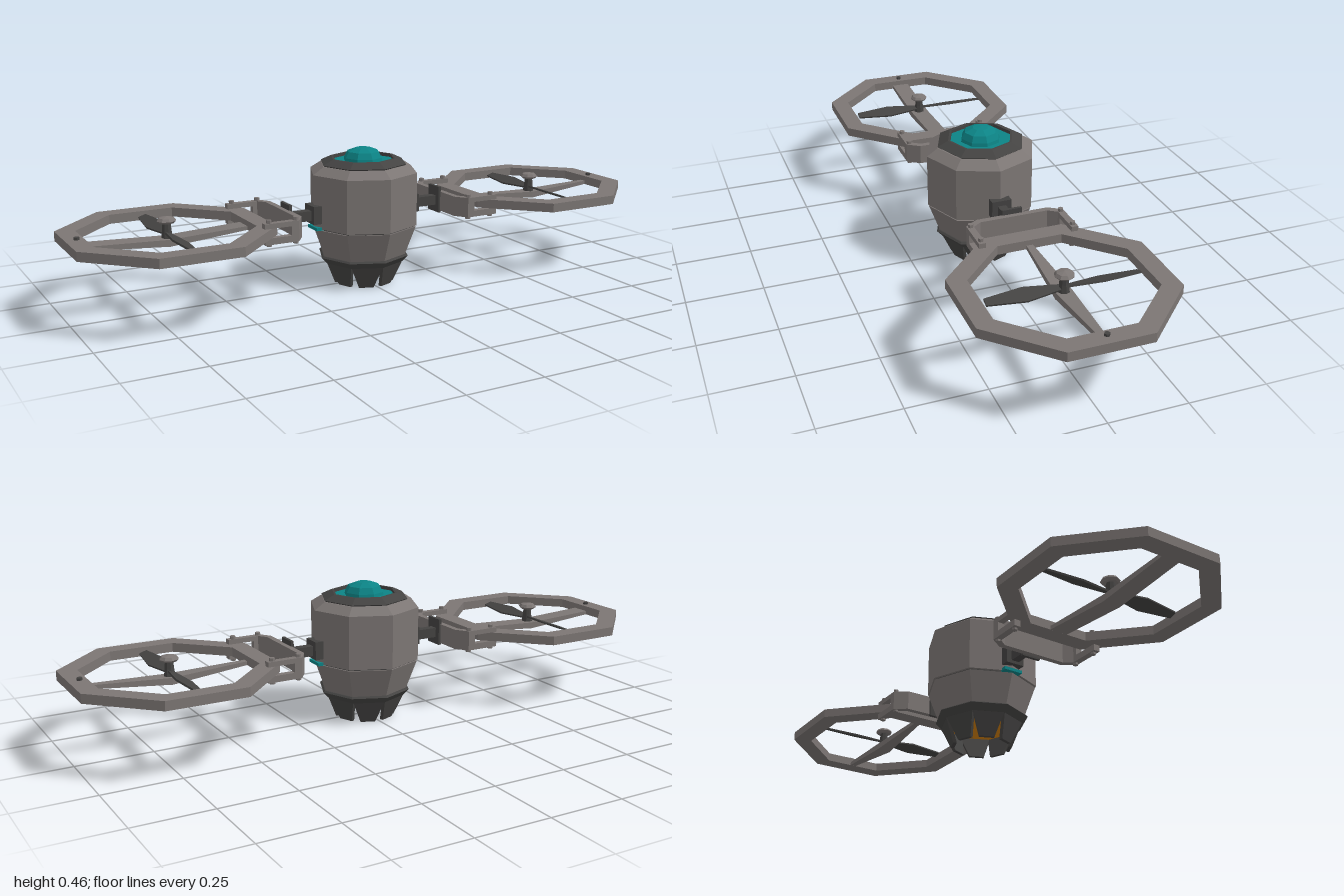
import * as THREE from 'three';

const material = (name, color) => {
  const m = new THREE.MeshStandardMaterial({ color, flatShading: true });
  m.name = name;
  return m;
};

export function createModel() {
  const grey = material('warmGrey', 0x7c7674);
  const dark = material('darkGrey', 0x444342);
  const teal = material('teal', 0x0c8486);
  const orange = material('orange', 0xd6820f);
  const model = new THREE.Group();
  model.name = 'twinRotorDrone';

  const add = (parent, name, geo, mat, x = 0, y = 0, z = 0) => {
    const mesh = new THREE.Mesh(geo, mat);
    mesh.name = name;
    mesh.position.set(x, y, z);
    parent.add(mesh);
    return mesh;
  };
  // Box given by its limits
  const block = (parent, name, mat, x0, x1, y0, y1, z0, z1) =>
    add(parent, name, new THREE.BoxGeometry(x1 - x0, y1 - y0, z1 - z0), mat,
      (x0 + x1) / 2, (y0 + y1) / 2, (z0 + z1) / 2);
  // Turned part from [radius, y] pairs, bottom to top on the outside
  const turned = (parent, name, mat, profile, sides = 8) =>
    add(parent, name, new THREE.LatheGeometry(
      profile.map(([r, y]) => new THREE.Vector2(r, y)), sides), mat);
  // Outline in x and z, raised from y0 to y1
  const slab = (parent, name, mat, shape, y0, y1) => {
    const geo = new THREE.ExtrudeGeometry(shape, { depth: y1 - y0, bevelEnabled: false });
    geo.rotateX(-Math.PI / 2);
    return add(parent, name, geo, mat, 0, y0, 0);
  };
  const outline = (points) => new THREE.Shape(points.map(([x, y]) => new THREE.Vector2(x, y)));

  // Eight-sided body
  turned(model, 'upperBody', grey, [[0.17, 0.203], [0.185, 0.203], [0.185, 0.38], [0.148, 0.404], [0.1, 0.404]]);
  turned(model, 'bodySeam', dark, [[0.176, 0.195], [0.176, 0.206]]);
  turned(model, 'lowerBody', grey, [[0.145, 0.098], [0.182, 0.198], [0.16, 0.198]]);
  turned(model, 'topCollar', dark, [[0.14, 0.402], [0.148, 0.408], [0.112, 0.425], [0.105, 0.425], [0.105, 0.412]]);
  turned(model, 'lampBase', teal, [[0.107, 0.414], [0, 0.414]]);
  turned(model, 'lampDome', teal, [[0.067, 0.414], [0.065, 0.425], [0.054, 0.445], [0.026, 0.456], [0, 0.458]]);
  turned(model, 'clawRing', dark, [[0.11, 0.075], [0.137, 0.075], [0.156, 0.096], [0.15, 0.101], [0.13, 0.101]]);
  turned(model, 'underGlow', orange, [[0, 0.073], [0.118, 0.073]]);

  // Tapered claws, one below each body face
  const claw = new THREE.BoxGeometry(2, 1, 0.012);
  const p = claw.attributes.position;
  for (let i = 0; i < p.count; i++) {
    const top = p.getY(i) > 0;
    p.setXYZ(i, p.getX(i) * (top ? 0.052 : 0.0245), top ? 0.078 : 0,
      p.getZ(i) - 0.006 + (top ? 0.127 : 0.098));
  }
  for (let i = 0; i < 8; i++) {
    add(model, 'claw', claw, dark).rotation.y = (i + 0.5) * Math.PI / 4;
  }

  // Octagon with flat sides along the axes
  const octagon = (cx, apothem) => Array.from({ length: 8 }, (_, i) => {
    const a = (i + 0.5) * Math.PI / 4, r = apothem / Math.cos(Math.PI / 8);
    return [cx + r * Math.cos(a), r * Math.sin(a)];
  });

  const cx = 0.6875;
  const buildSide = (name, barEnd) => {
    const side = new THREE.Group();
    side.name = name;
    model.add(side);

    // Arm from the body to the fork
    block(side, 'armSocket', dark, 0.16, 0.2, 0.222, 0.282, -0.033, 0.033);
    block(side, 'socketLight', teal, 0.165, 0.19, 0.2, 0.21, -0.033, 0.033);
    block(side, 'arm', dark, 0.19, 0.286, 0.232, 0.265, -0.014, 0.014);
    block(side, 'armPlate', dark, 0.279, 0.289, 0.208, 0.298, -0.033, 0.033);

    // Fork holding the ring from above and below
    slab(side, 'forkFrame', grey, outline([
      [0.286, -0.12], [0.315, -0.162], [0.34, -0.162], [0.34, -0.14], [0.325, -0.14], [0.305, -0.112],
      [0.305, 0.112], [0.325, 0.14], [0.34, 0.14], [0.34, 0.162], [0.315, 0.162], [0.286, 0.12],
    ]), 0.214, 0.281);
    for (const s of [-1, 1]) {
      for (const [y0, y1] of [[0.265, 0.281], [0.214, 0.235]]) {
        block(side, 'forkTab', grey, 0.335, 0.43, y0, y1, s * 0.151 - 0.011, s * 0.151 + 0.011);
      }
      for (const x of [0.322, 0.412]) {
        add(side, 'forkBolt', new THREE.CylinderGeometry(0.009, 0.009, 0.084, 6), grey, x, 0.249, s * 0.15);
      }
    }

    // Rotor guard
    const ring = outline(octagon(cx, 0.3125));
    ring.holes.push(new THREE.Path(octagon(cx, 0.254).map(([x, y]) => new THREE.Vector2(x, y))));
    slab(side, 'guardRing', grey, ring, 0.235, 0.265);
    add(side, 'ringBolt', new THREE.CylinderGeometry(0.009, 0.009, 0.01, 6), dark, 0.965, 0.268, 0);

    // Crossbar, deepest under the hub
    const bar = new THREE.BoxGeometry(0.53, 0.02, 2, 2, 1, 1);
    const q = bar.attributes.position;
    for (let i = 0; i < q.count; i++) {
      const mid = Math.abs(q.getX(i)) < 0.01;
      q.setY(i, q.getY(i) > 0 ? (mid ? 0.236 : 0.248) : (mid ? 0.214 : 0.236));
      q.setZ(i, q.getZ(i) * (mid ? Math.max(0.026, barEnd) : barEnd));
    }
    add(side, 'crossbar', bar, grey, cx);

    // Motor shaft, cap and two pitched blades
    const hub = new THREE.Group();
    hub.name = 'rotor';
    hub.position.x = cx;
    side.add(hub);
    turned(hub, 'shaft', dark, [[0.02, 0.225], [0.015, 0.262], [0.013, 0.29]]);
    turned(hub, 'cap', grey, [[0, 0.283], [0.024, 0.283], [0.031, 0.29], [0.024, 0.299], [0, 0.304]]);
    const bladeShape = outline([[-0.01, 0.01], [0.01, 0.01], [0.027, 0.12], [0.013, 0.24], [-0.013, 0.24], [-0.027, 0.12]]);
    for (const turn of [0, Math.PI]) {
      const holder = new THREE.Group();
      holder.name = 'bladeHolder';
      holder.position.y = 0.251;
      holder.rotation.y = turn;
      hub.add(holder);
      slab(holder, 'blade', dark, bladeShape, -0.003, 0.003).rotation.z = 0.3;
    }
    return side;
  };

  buildSide('leftRotorArm', 0.01);
  buildSide('rightRotorArm', 0.031).rotation.y = Math.PI;
  return model;
}
